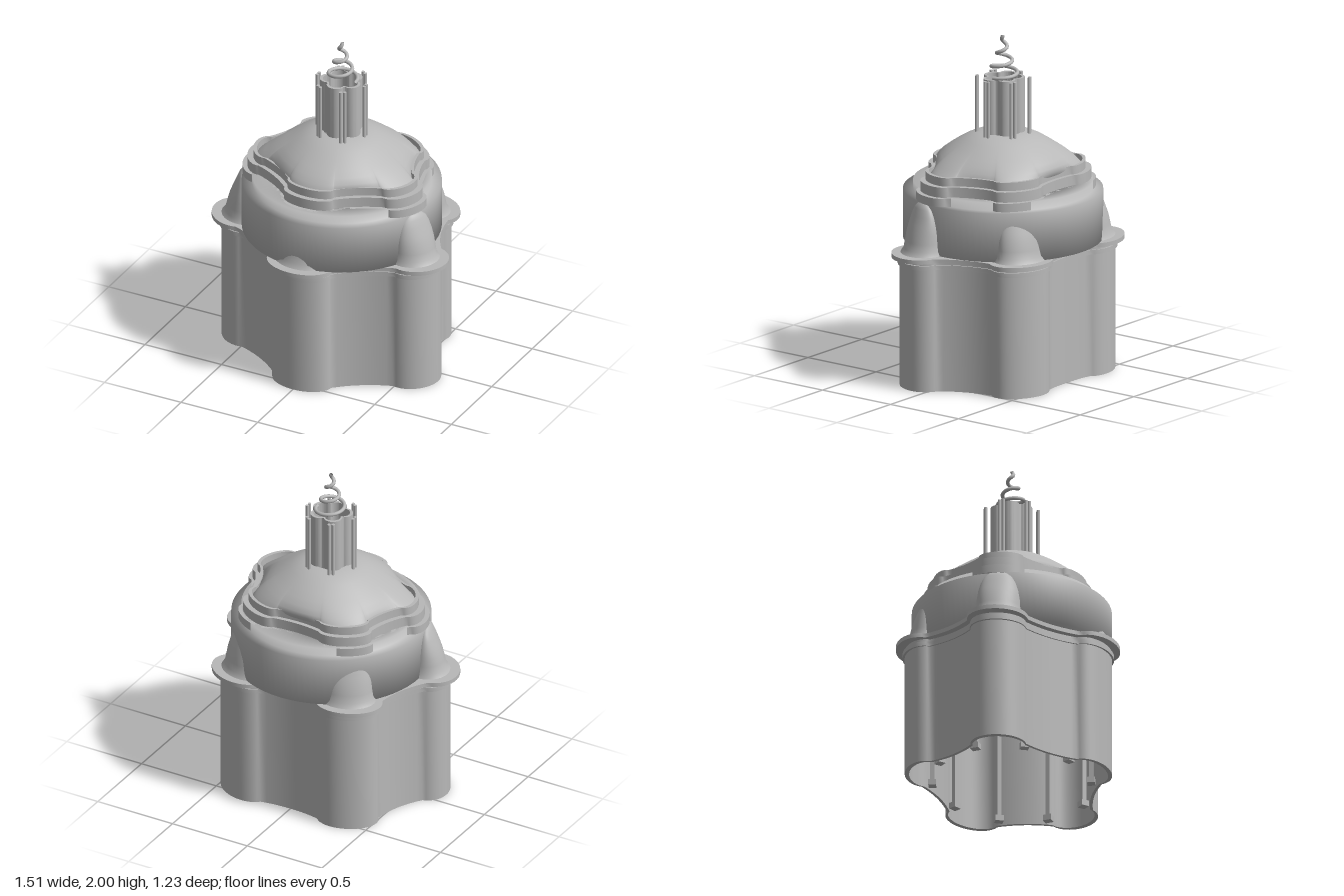
import * as THREE from 'three';
import { toCreasedNormals } from 'three/addons/utils/BufferGeometryUtils.js';

const STRETCH = 1.19; // the five-lobed plan is wider than it is deep
const LOBE = { centre: 0.487, tangent: 0.157, radial: 0.118, sag: 0.02 };
const STEP = { centre: 0.515, tangent: 0.172, radial: 0.09, sag: 0.018 };
const LANTERN = { centre: 0.078, tangent: 0.05, radial: 0.045, sag: 0 };

const stone = new THREE.MeshStandardMaterial({ color: 0xb8b8b8, side: THREE.DoubleSide });
stone.name = 'stone grey';

// Point at a radial and tangential distance along direction a (a = 0 faces the front)
function polar(a, r, t, sx = STRETCH) {
  return new THREE.Vector2((r * Math.sin(a) + t * Math.cos(a)) * sx, r * Math.cos(a) - t * Math.sin(a));
}

// Five half-ellipse lobes joined by shallow concave bays; points are (x, z)
function outline(scale = 1, grow = 0, plan = LOBE, sx = STRETCH) {
  const pts = [];
  const c = plan.centre * scale + grow * 0.6;
  const t = plan.tangent * scale + grow * 0.3;
  const d = plan.radial * scale + grow * 0.4;
  const cornerAngle = Math.atan2(t, c), cornerR = Math.hypot(t, c);
  const half = Math.PI / 5 - cornerAngle;
  for (let i = 0; i < 5; i++) {
    const a = (i * Math.PI * 2) / 5;
    for (let k = 0; k <= 20; k++) {
      const u = -Math.PI / 2 + (k / 20) * Math.PI;
      pts.push(polar(a, c + d * Math.cos(u), t * Math.sin(u), sx));
    }
    for (let k = 1; k < 10; k++) {
      const w = (k / 10) * 2 - 1;
      const r = cornerR * Math.cos(half) - plan.sag * scale * (1 - w * w);
      pts.push(polar(a + Math.PI / 5, r, w * cornerR * Math.sin(half), sx));
    }
  }
  return pts;
}

// Upright slab with a hole, from y0 to y1
function slab(outer, inner, y0, y1) {
  const flip = (pts) => pts.map((p) => new THREE.Vector2(p.x, -p.y));
  const shape = new THREE.Shape(flip(outer));
  shape.holes.push(new THREE.Path(flip(inner)));
  const geo = new THREE.ExtrudeGeometry(shape, { depth: y1 - y0, bevelEnabled: false });
  geo.rotateX(-Math.PI / 2).translate(0, y0, 0);
  return toCreasedNormals(geo, 1.45);
}

// Skin through rings given as { y, pts }
function loft(rings) {
  const n = rings[0].pts.length, pos = [], idx = [];
  rings.forEach(({ y, pts }) => pts.forEach((p) => pos.push(p.x, y, p.y)));
  for (let j = 0; j < rings.length - 1; j++) {
    for (let i = 0; i < n; i++) {
      const a = j * n + i, b = j * n + ((i + 1) % n);
      idx.push(a, b, a + n, b, b + n, a + n);
    }
  }
  const geo = new THREE.BufferGeometry();
  geo.setAttribute('position', new THREE.Float32BufferAttribute(pos, 3));
  geo.setIndex(idx);
  geo.computeVertexNormals();
  return geo;
}

export function createModel() {
  const model = new THREE.Group();
  model.name = 'lobedChapel';
  const add = (name, geo, x = 0, y = 0, z = 0) => {
    const mesh = new THREE.Mesh(geo, stone);
    mesh.name = name;
    mesh.position.set(x, y, z - 0.04);
    model.add(mesh);
    return mesh;
  };

  // Hollow lower walls and cornice
  add('walls', slab(outline(), outline(1, -0.025), 0, 0.78));
  add('lowerMoulding', slab(outline(1, 0.012), outline(1, -0.01), 0.73, 0.757));
  add('cornice', slab(outline(1, 0.05), outline(0.7), 0.775, 0.8));

  // Slender columns inside the corners
  const corner = Math.atan2(LOBE.tangent, LOBE.centre);
  for (let i = 0; i < 5; i++) {
    for (const side of [-1, 1]) {
      const a = (i * Math.PI * 2) / 5 + side * corner;
      const p = polar(a, 0.45, 0);
      add('innerColumn', new THREE.BoxGeometry(0.025, 0.77, 0.025), p.x, 0.39, p.y).rotation.y = a;
      for (const y of [0.02, 0.74]) {
        add('innerColumnBlock', new THREE.BoxGeometry(0.05, 0.035, 0.045), p.x, y, p.y).rotation.y = a;
      }
    }
  }

  // Bell-shaped caps over the lobes: height, radial and tangential half width
  const bell = [[0.8, 0.118, 0.142], [0.825, 0.1, 0.13], [0.87, 0.091, 0.125], [0.92, 0.08, 0.122], [0.97, 0.064, 0.114],
    [1.02, 0.046, 0.1], [1.06, 0.032, 0.08], [1.085, 0.018, 0.05], [1.095, 0, 0]];
  for (let i = 0; i < 5; i++) {
    const rings = bell.map(([y, d, t]) => ({
      y,
      pts: Array.from({ length: 40 }, (_, k) => {
        const u = (k / 40) * Math.PI * 2;
        return polar((i * Math.PI * 2) / 5, LOBE.centre + d * Math.cos(u), t * Math.sin(u));
      }),
    }));
    add('lobeCap', loft(rings));
  }

  // Round drum with a set-back ring on top, softly shaded
  const drum = [[0.36, 0.8], [0.578, 0.8], [0.578, 1.09], [0.52, 1.09], [0.52, 1.14], [0.36, 1.14], [0.36, 0.8]];
  add('drum', new THREE.LatheGeometry(drum.map(([r, y]) => new THREE.Vector2(r, y)), 96));

  // Three lobed steps
  [[0.825, 0.6, 1.09, 1.14], [0.785, 0.6, 1.14, 1.2], [0.735, 0.705, 1.2, 1.25]].forEach(([s, hole, y0, y1]) => {
    add('step', slab(outline(s, 0, STEP), outline(hole, 0, STEP), y0, y1));
  });

  // Dome blending from the lobed plan to a circle: height, radius, blend
  const dome = [[1.2, 0.42, 0], [1.22, 0.42, 0.2], [1.245, 0.412, 0.5], [1.27, 0.396, 0.68], [1.3, 0.367, 0.82],
    [1.33, 0.328, 0.92], [1.36, 0.284, 1], [1.39, 0.235, 1], [1.41, 0.193, 1], [1.425, 0.15, 1], [1.43, 0.11, 1]];
  add('dome', loft(dome.map(([y, r, blend]) => ({
    y,
    pts: outline(r / 0.59, 0, STEP).map((p) => p.clone().lerp(p.clone().setLength(r), blend)),
  }))));

  // Open lantern with six pairs of thin columns
  add('lantern', slab(outline(1, 0, LANTERN, 1.05), outline(0.86, 0, LANTERN, 1.05), 1.42, 1.755));
  for (let i = 0; i < 6; i++) {
    for (const side of [-0.012, 0.012]) {
      const p = polar(Math.PI / 2 + (i * Math.PI) / 3, 0.153, side, 1);
      add('lanternColumn', new THREE.CylinderGeometry(0.01, 0.01, 0.345, 12), p.x, 1.5825, p.y);
    }
  }

  // Tapering spiral finial
  const path = [];
  for (let i = 0; i <= 72; i++) {
    const t = i / 72, a = t * Math.PI * 2 * 3, r = 0.092 * (1 - t) + 0.002;
    path.push(new THREE.Vector3(r * Math.cos(a), 1.763 + 0.237 * Math.pow(t, 1.2), -r * Math.sin(a)));
  }
  add('spiralFinial', new THREE.TubeGeometry(new THREE.CatmullRomCurve3(path), 220, 0.011, 10));
  return model;
}
